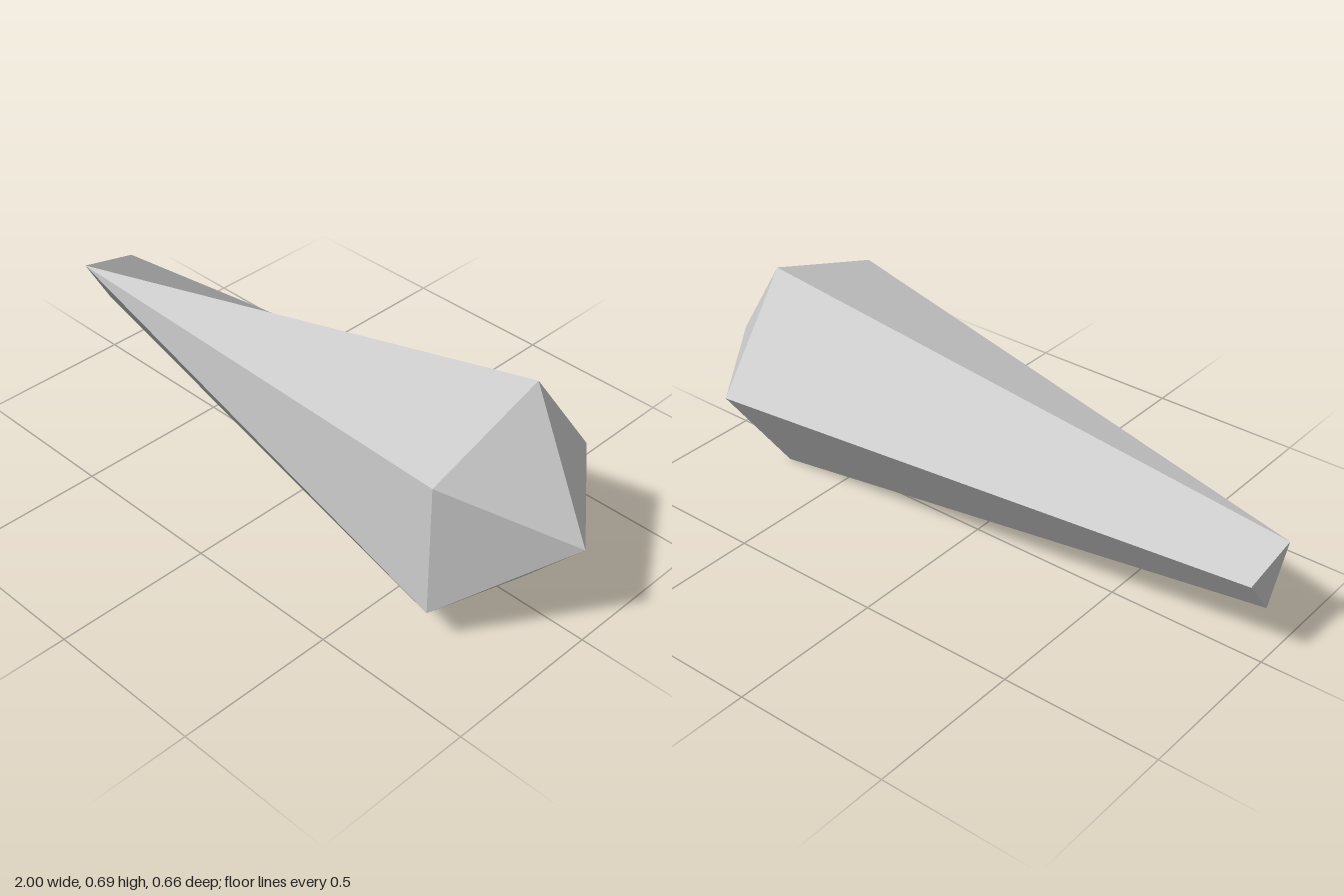
import * as THREE from 'three';

const v = (x, y, z) => new THREE.Vector3(x, y, z);

// Each face is a loop of corners cut into triangles; the whole face shares one normal.
function facesMesh(name, faces, material) {
  const positions = [], normals = [];
  for (const triangles of faces) {
    const normal = v(0, 0, 0);
    for (const [a, b, c] of triangles) {
      normal.add(b.clone().sub(a).cross(c.clone().sub(a)));
    }
    normal.normalize();
    for (const p of triangles.flat()) {
      positions.push(p.x, p.y, p.z);
      normals.push(normal.x, normal.y, normal.z);
    }
  }
  const geometry = new THREE.BufferGeometry();
  geometry.setAttribute('position', new THREE.Float32BufferAttribute(positions, 3));
  geometry.setAttribute('normal', new THREE.Float32BufferAttribute(normals, 3));
  const mesh = new THREE.Mesh(geometry, material);
  mesh.name = name;
  return mesh;
}

export function createModel() {
  const group = new THREE.Group();
  group.name = 'crystalShard';
  const stone = new THREE.MeshStandardMaterial({ color: 0xcccccc });
  stone.name = 'pale grey stone';

  // Wide five-sided ring near the point, anticlockwise seen from +x
  const ring = [[0.692, -0.077], [0.561, 0.329], [0.133, 0.329], [0.002, -0.077], [0.347, -0.328]]
    .map(([y, z]) => v(0.72, y, z));
  const tip = v(1, 0.347, 0.034);

  // Narrow triangular end; three ring corners run to the same point
  const p = v(-1, 0.357, 0.09), q = v(-1, 0.315, -0.1), r = v(-1, 0.19, -0.003);
  const end = [p, p, p, r, q];

  const pointFaces = [], shaftFaces = [];
  for (let i = 0; i < 5; i++) {
    const j = (i + 1) % 5;
    pointFaces.push([[tip, ring[i], ring[j]]]);
    const side = [[ring[j], ring[i], end[j]]];
    if (end[i] !== end[j]) side.push([ring[i], end[i], end[j]]);
    shaftFaces.push(side);
  }

  group.add(facesMesh('point', pointFaces, stone));
  group.add(facesMesh('shaft', shaftFaces, stone));
  group.add(facesMesh('endCap', [[[p, q, r]]], stone));
  return group;
}
